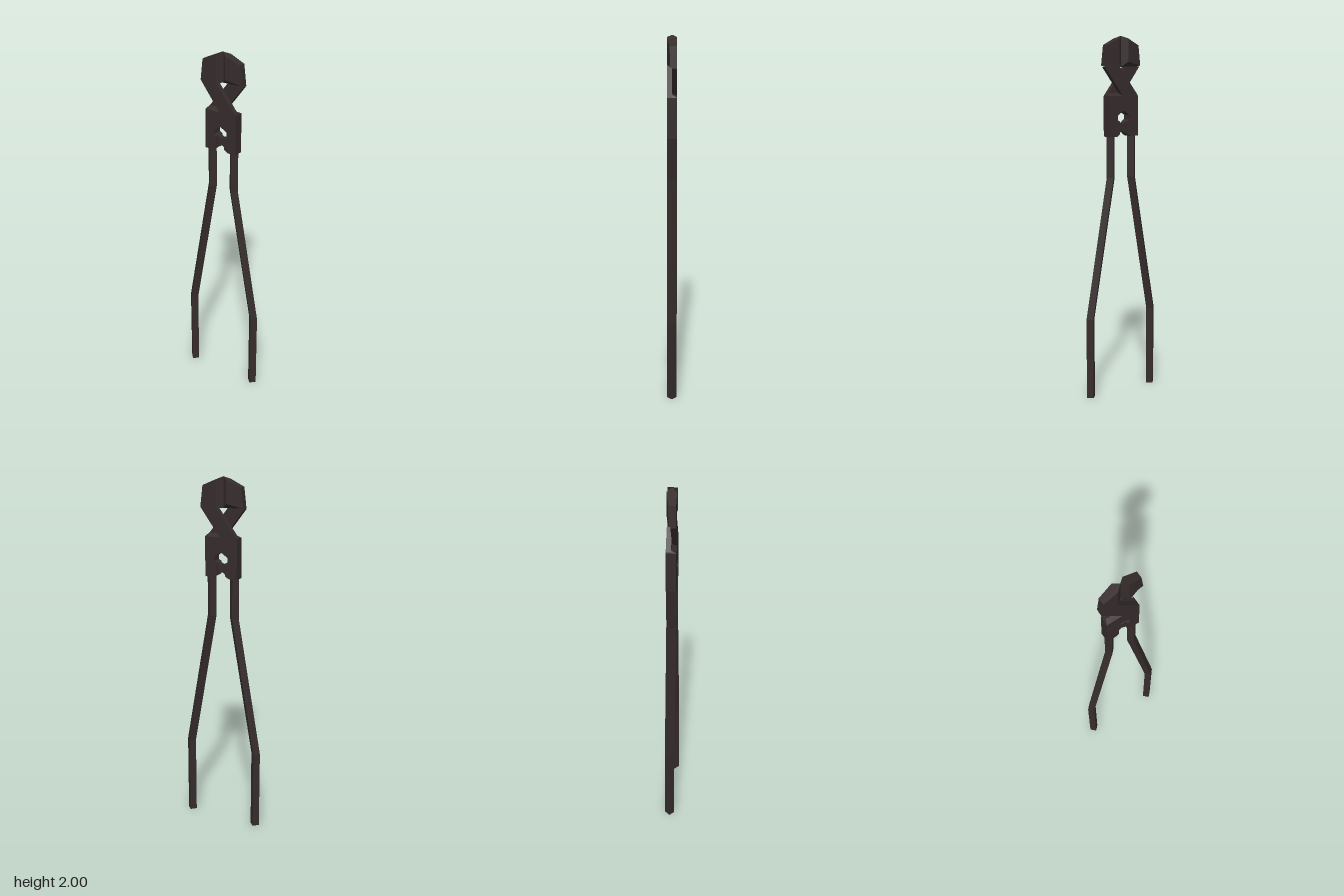
import * as THREE from 'three';
import { ConvexGeometry } from 'three/addons/geometries/ConvexGeometry.js';

const T = 0.027; // half thickness of the tool

// Flat slab cut from an outline, between two depths
function slab(points, z0, z1) {
  const shape = new THREE.Shape(points.map(([x, y]) => new THREE.Vector2(x, y)));
  const g = new THREE.ExtrudeGeometry(shape, { depth: z1 - z0, bevelEnabled: false });
  return g.translate(0, 0, z0);
}

const hull = (points) => new ConvexGeometry(points.map((p) => new THREE.Vector3(...p)));

// Four-sided bar that bends along a list of [x, y] centres
function bentBar(path) {
  const g = new THREE.CylinderGeometry(T, T, 1, 4, path.length - 1);
  const pos = g.attributes.position;
  for (let i = 0; i < pos.count; i++) {
    const row = Math.round((pos.getY(i) + 0.5) * (path.length - 1));
    pos.setX(i, pos.getX(i) + path[row][0]);
    pos.setY(i, path[row][1]);
  }
  g.computeVertexNormals();
  return g;
}

export function createModel() {
  const model = new THREE.Group();
  model.name = 'cuttingPliers';
  const darkSteel = new THREE.MeshStandardMaterial({ color: 0x362c2c, flatShading: true });
  darkSteel.name = 'darkSteel';

  const add = (parent, name, geometry) => {
    const mesh = new THREE.Mesh(geometry, darkSteel);
    mesh.name = name;
    parent.add(mesh);
  };

  // Two identical halves, the second turned half way round the upright axis
  for (let i = 0; i < 2; i++) {
    const half = new THREE.Group();
    half.name = i === 0 ? 'frontHalf' : 'backHalf';
    half.rotation.y = i * Math.PI;
    model.add(half);

    add(half, 'handle', bentBar([[0.209, 0], [0.209, 0.455], [0.0695, 1.235], [0.0695, 1.465]]));

    // Side of the joint, with half of the central opening
    add(half, 'jointPlate', slab([
      [0.096, 1.46], [0.096, 1.68], [0, 1.68], [0, 1.6], [0.04, 1.575],
      [0.04, 1.55], [0.025, 1.541], [0.025, 1.473], [0.045, 1.46],
    ], -T, T));

    // Thin web closing the bottom of the opening
    add(half, 'jointWeb', slab([
      [0.03, 1.47], [0.03, 1.544], [0, 1.53], [0, 1.49],
    ], -0.013, 0.013));

    // Sloped shoulder behind the crossing arm
    add(half, 'shoulder', hull([
      [0, 1.675, -T], [0.096, 1.675, -T], [0, 1.675, 0], [0.096, 1.675, 0],
      [0, 1.68, -T], [0.096, 1.68, -T], [0, 1.695, 0], [0.085, 1.695, 0],
    ]));

    // Arm crossing over to the other side
    add(half, 'crossingArm', slab([
      [0.096, 1.675], [0.093, 1.684], [-0.03, 1.84], [-0.124, 1.835], [-0.003, 1.675],
    ], 0, T));

    // Jaw, full depth near the middle and bevelled to a cutting edge
    add(half, 'jaw', hull([
      [-0.124, 1.835, T], [-0.11, 1.95, T], [-0.11, 1.95, -0.012], [-0.124, 1.842, -0.01],
      [-0.03, 1.835, T], [-0.03, 1.986, T], [-0.03, 1.986, -T], [-0.03, 1.862, -T],
      [0, 1.835, 0], [0, 2, 0],
    ]));
  }
  return model;
}
